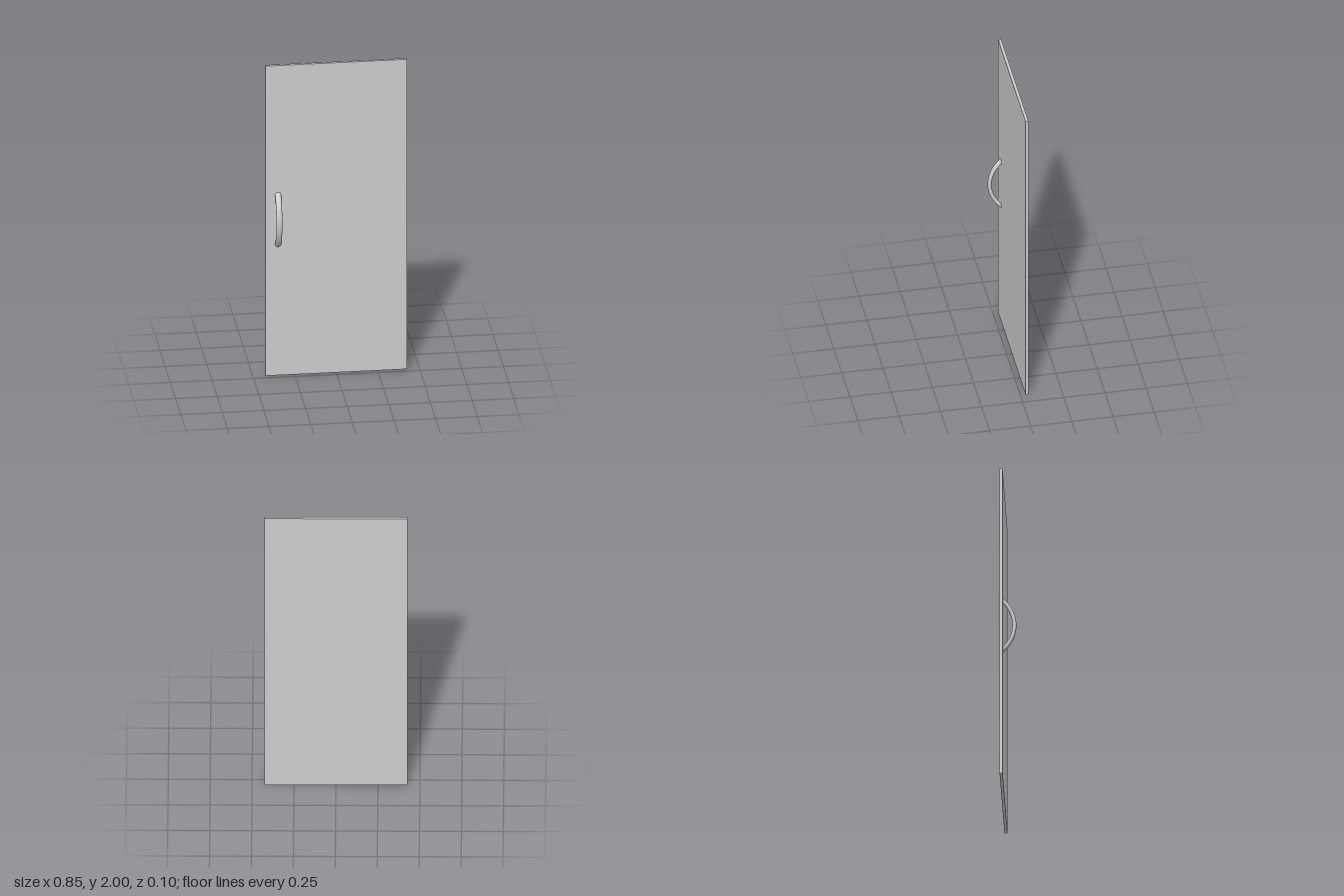
import * as THREE from 'three';

export function createModel() {
  const group = new THREE.Group();
  const material = new THREE.MeshStandardMaterial({ color: 0xcccccc });

  // Flat door panel, set back so the handle completes the depth
  const panel = new THREE.Mesh(new THREE.BoxGeometry(0.852, 2, 0.018), material);
  panel.name = 'doorPanel';
  panel.position.set(0, 1, -0.041);
  group.add(panel);

  // Bow handle: a circular arc whose ends sink into the panel
  const radius = 0.222, halfAngle = 0.86, steps = 24;
  const points = [];
  for (let i = 0; i <= steps; i++) {
    const a = halfAngle * (2 * i / steps - 1);
    points.push(new THREE.Vector3(0, radius * Math.sin(a), radius * (Math.cos(a) - 1)));
  }
  const arc = new THREE.CatmullRomCurve3(points);
  const handle = new THREE.Mesh(new THREE.TubeGeometry(arc, 40, 0.012, 20), material);
  handle.name = 'handle';
  handle.scale.x = 1.5; // oval section, wider than deep
  handle.position.set(-0.349, 1.004, 0.036);
  group.add(handle);

  return group;
}
